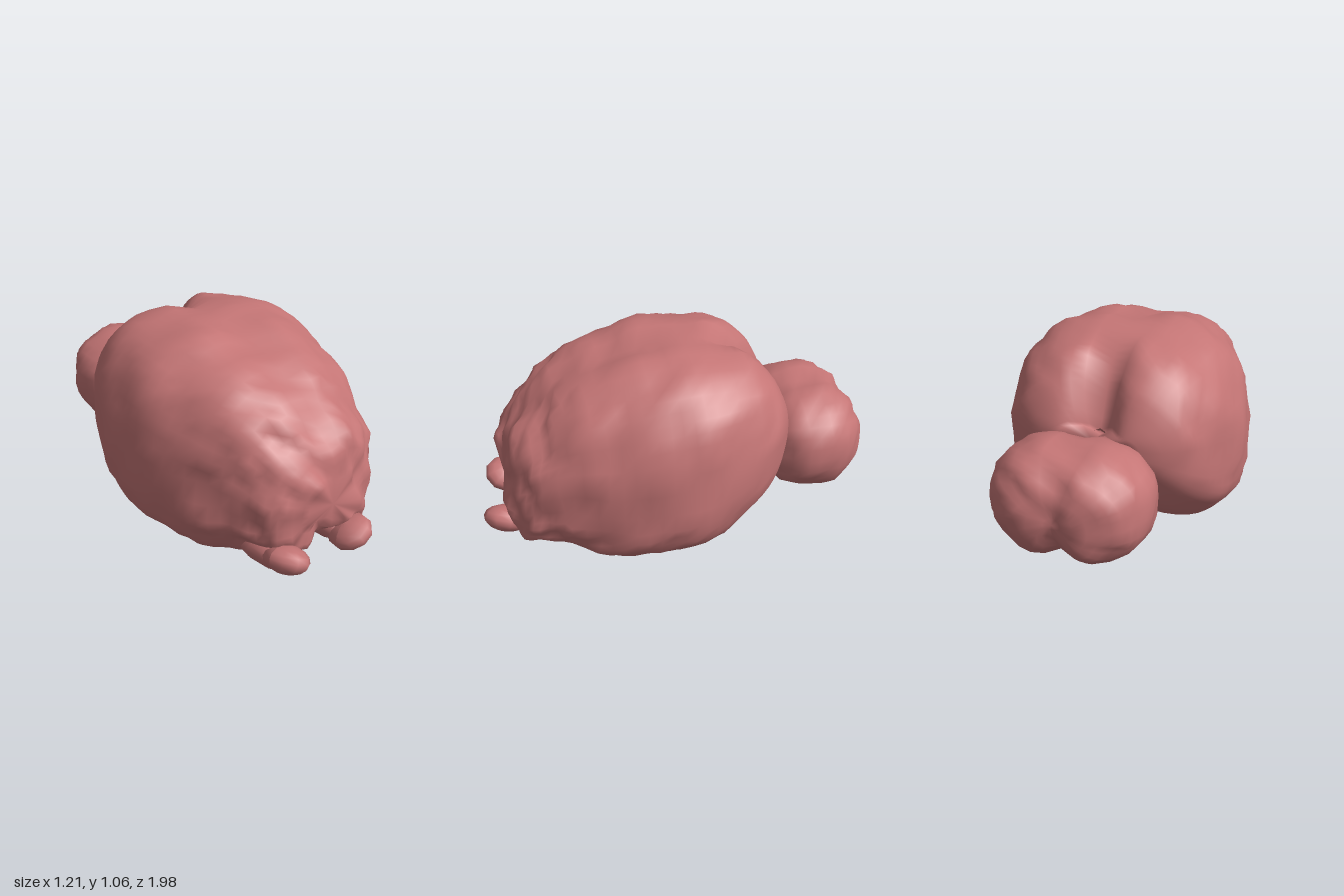
import * as THREE from 'three';

const tissue = new THREE.MeshStandardMaterial({ color: 0xc47575 });
tissue.name = 'pink tissue';

const bell = (v, w) => Math.exp(-((v / w) ** 2));
const spow = (v, p) => Math.sign(v) * Math.abs(v) ** p;

// Smooth, irregular lumps for the folded surface
const lumps = (x, y, z, f) =>
  (Math.sin(f * x + 1.3 * Math.sin(f * 0.7 * y)) * Math.cos(f * 1.1 * y + 0.6 * f * z) +
    0.8 * Math.sin(f * 1.2 * z + 2 * Math.sin(f * 0.5 * x) + 1) * Math.cos(f * 0.8 * y)) / 1.8;

function addMesh(group, geometry, name) {
  geometry.computeVertexNormals();
  const mesh = new THREE.Mesh(geometry, tissue);
  mesh.name = name;
  group.add(mesh);
  return mesh;
}

// Closed skin over rings; point(t, u) gives a Vector3, both end rings are capped
function skin(rings, sides, point) {
  const pos = [], index = [];
  for (let i = 0; i < rings; i++)
    for (let j = 0; j < sides; j++) pos.push(...point(i / (rings - 1), j / sides).toArray());
  for (let i = 0; i < rings - 1; i++)
    for (let j = 0; j < sides; j++) {
      const k = (j + 1) % sides;
      const a = i * sides + j, b = i * sides + k, c = a + sides, d = b + sides;
      index.push(a, b, c, b, d, c);
    }
  for (const end of [0, rings - 1]) {
    const mid = new THREE.Vector3();
    for (let j = 0; j < sides; j++) mid.add(point(end / (rings - 1), j / sides));
    const m = pos.length / 3;
    pos.push(...mid.divideScalar(sides).toArray());
    for (let j = 0; j < sides; j++) {
      const a = end * sides + j, b = end * sides + ((j + 1) % sides);
      index.push(...(end ? [a, b, m] : [b, a, m]));
    }
  }
  const g = new THREE.BufferGeometry();
  g.setAttribute('position', new THREE.Float32BufferAttribute(pos, 3));
  g.setIndex(index);
  return g;
}

// Cerebrum sections, back to front: z, half width, bottom, top
const sections = [
  [-0.555, 0.2, 0.58, 0.72], [-0.53, 0.31, 0.5, 0.78], [-0.47, 0.41, 0.38, 0.89],
  [-0.4, 0.47, 0.27, 0.965], [-0.3, 0.525, 0.165, 1.025], [-0.15, 0.575, 0.065, 1.05],
  [0, 0.6, 0.025, 1.06], [0.15, 0.59, 0.01, 1.05], [0.3, 0.55, -0.005, 1.01],
  [0.45, 0.5, 0.03, 0.965], [0.6, 0.43, 0.085, 0.89], [0.7, 0.375, 0.105, 0.8],
  [0.78, 0.33, 0.12, 0.72], [0.83, 0.26, 0.16, 0.64], [0.86, 0.16, 0.24, 0.54],
];
const plan = new THREE.SplineCurve(sections.map(s => new THREE.Vector2(s[0], s[1])));
const side = new THREE.SplineCurve(sections.map(s => new THREE.Vector2(s[2], s[3])));

function cerebrumPoint(t, u) {
  const { x: z, y: w } = plan.getPoint(t), { x: low, y: high } = side.getPoint(t);
  const a = u * Math.PI * 2, c = Math.cos(a), s = Math.sin(a);
  const cy = low + 0.4 * (high - low), power = s < 0 ? 0.7 : 0.74;
  const p = new THREE.Vector3(w * spow(c, power), cy + (s > 0 ? high - cy : cy - low) * spow(s, power), z);
  const rear = THREE.MathUtils.smoothstep(-z, 0.1, 0.5);
  // Groove between the hemispheres: wide below, shallow above, deep at the back
  if (s < 0) p.y += 0.1 * bell(p.x, 0.13) * -s;
  else p.y -= (0.025 + 0.05 * rear) * bell(p.x, 0.07) * s;
  p.z += 0.12 * rear * bell(p.x, 0.1);
  // Folds grow stronger toward the front
  const front = THREE.MathUtils.smoothstep(z, 0.2, 0.7);
  const n = 0.017 * lumps(p.x, p.y, p.z, 15) + (0.008 + 0.008 * front) * lumps(p.z, p.x, p.y, 33);
  p.x += n * c;
  p.y += n * s;
  p.z += n * (0.3 + 0.9 * front);
  return p;
}

// Cerebellum: a bumpy ball pinched along the middle into two lobes
function cerebellumPoint(t, u) {
  const phi = THREE.MathUtils.lerp(-1.5, 1.5, t), a = u * Math.PI * 2;
  const d = new THREE.Vector3(Math.cos(phi) * Math.cos(a), Math.cos(phi) * Math.sin(a), Math.sin(phi));
  const p = new THREE.Vector3(0.385 * spow(d.x, 0.85), 0.28 * spow(d.y, 0.85), 0.28 * spow(d.z, 0.85));
  const pinch = bell(p.x, 0.07);
  p.y *= 1 - pinch * (d.y < 0 ? 0.22 : 0.1);
  p.z *= 1 - pinch * 0.12;
  const n = 0.014 * lumps(p.x, p.y, p.z, 24) + 0.009 * lumps(p.y, p.z, p.x, 42);
  return p.addScaledVector(d, n).add(new THREE.Vector3(0.025, 0.462, -0.71));
}

export function createModel() {
  const group = new THREE.Group();
  group.name = 'brain';
  addMesh(group, skin(38, 56, cerebrumPoint), 'cerebrum');
  addMesh(group, skin(20, 32, cerebellumPoint), 'cerebellum');

  // Olfactory bulbs, outer edges tilted up
  for (const [name, x, z, tilt] of [['leftOlfactoryBulb', 0.115, 0.875, 0.45], ['rightOlfactoryBulb', -0.26, 0.835, -0.45]]) {
    const bulb = addMesh(group, new THREE.SphereGeometry(1, 10, 8).scale(0.105, 0.068, 0.12), name);
    bulb.position.set(x, 0.195, z);
    bulb.rotation.set(-0.3, 0, tilt);
    // Stalk running back under the front of the cerebrum
    const stalk = addMesh(group, new THREE.SphereGeometry(1, 10, 8).scale(0.1, 0.085, 0.24), name + 'Stalk');
    stalk.position.set(x * 0.97, 0.185, 0.67);
  }
  return group;
}
